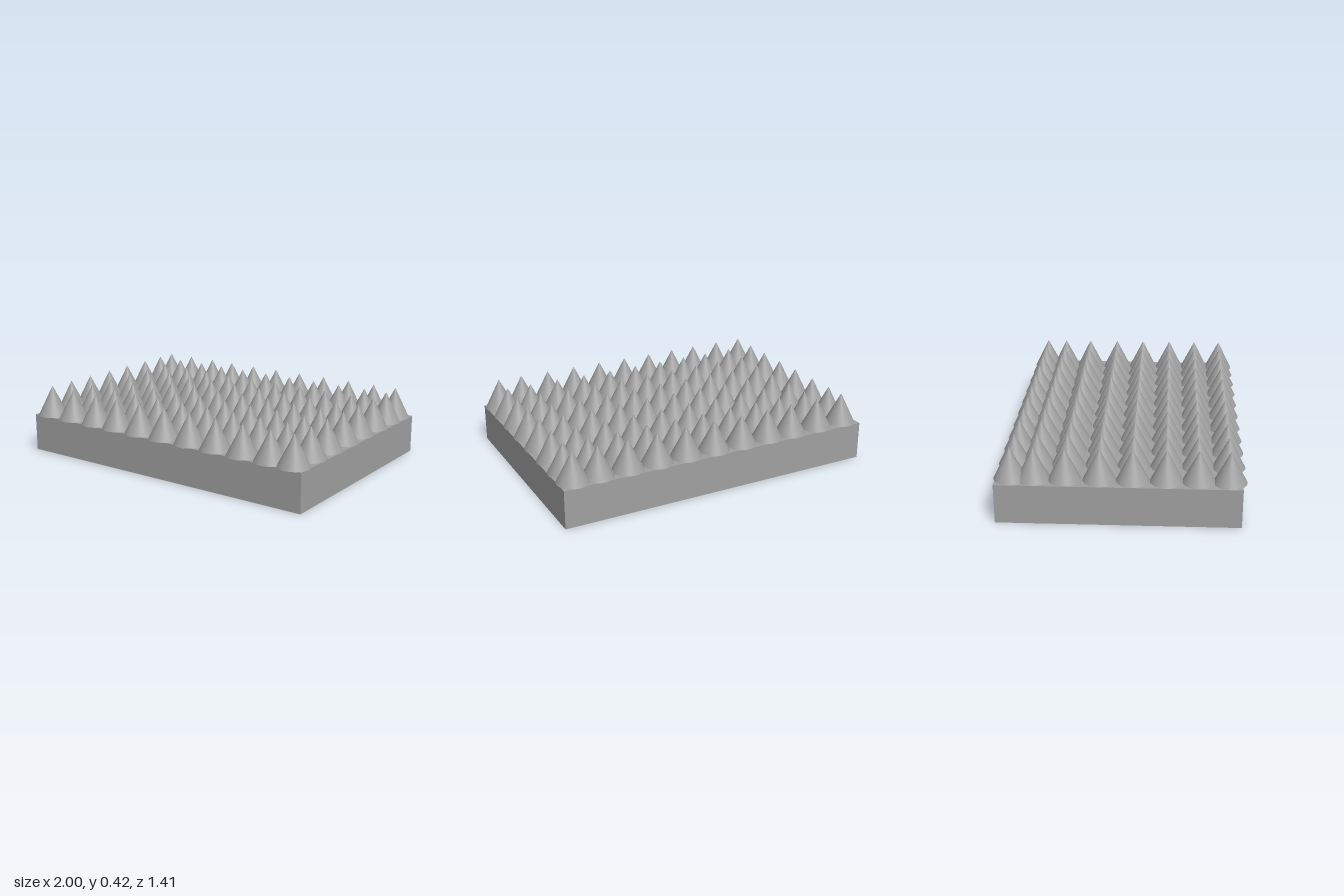
import * as THREE from 'three';

export function createModel() {
  const model = new THREE.Group();
  const grey = new THREE.MeshStandardMaterial({ color: 0xa0a0a0 });
  grey.name = 'grey';

  // Slab the spikes stand on
  const slabHeight = 0.234;
  const slab = new THREE.Mesh(new THREE.BoxGeometry(1.99, slabHeight, 1.374), grey);
  slab.name = 'slab';
  slab.position.set(-0.005, slabHeight / 2, -0.007);
  model.add(slab);

  // Slightly uneven grid of smooth cones, with the last row and column set closer
  const columns = [-0.906, -0.722, -0.532, -0.361, -0.179, 0.008, 0.195, 0.382, 0.567, 0.751, 0.903];
  const rows = [0.612, 0.439, 0.261, 0.072, -0.113, -0.306, -0.48, -0.61];
  const spikeHeight = 0.188;
  const spikeGeometry = new THREE.ConeGeometry(0.094, spikeHeight, 48);
  const spikes = new THREE.Group();
  spikes.name = 'spikes';
  for (const z of rows) {
    for (const x of columns) {
      const spike = new THREE.Mesh(spikeGeometry, grey);
      spike.name = 'spike';
      spike.position.set(x, slabHeight + spikeHeight / 2, z);
      spikes.add(spike);
    }
  }
  model.add(spikes);
  return model;
}
